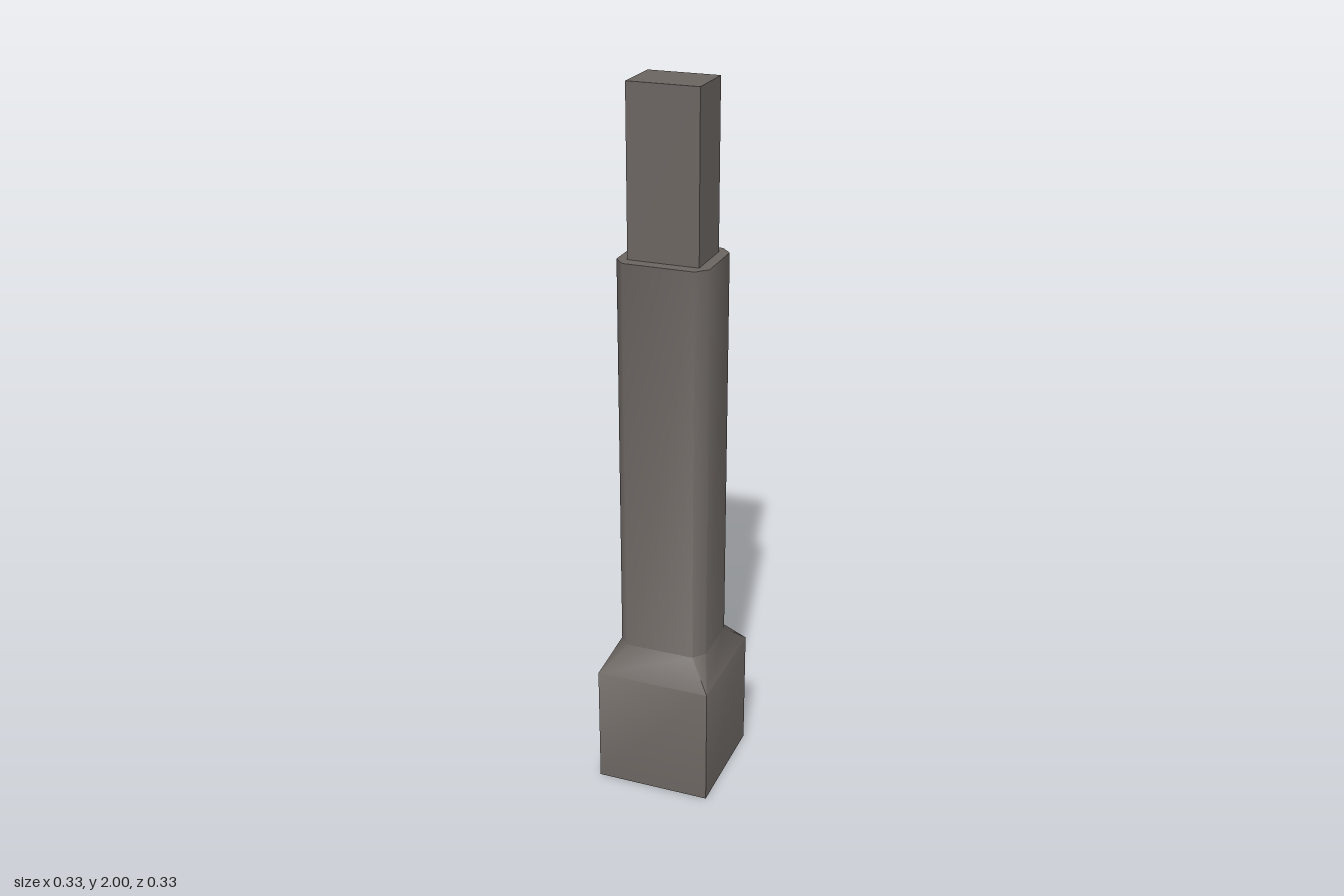
import * as THREE from 'three';
import { toCreasedNormals } from 'three/addons/utils/BufferGeometryUtils.js';

// Chamfered rectangle, counterclockwise from above; (cx, cz) are the inner ends of each chamfer
function section(y, x, z, cx = x, cz = z) {
  return [
    [x, cz], [x, -cz], [cx, -z], [-cx, -z],
    [-x, -cz], [-x, cz], [-cx, z], [cx, z],
  ].map(([px, pz]) => new THREE.Vector3(px, y, pz));
}

// Skin between sections with capped ends, smooth except at sharp corners
function loft(sections) {
  const pos = [];
  const tri = (a, b, c) => {
    if (a.equals(b) || b.equals(c) || c.equals(a)) return;
    pos.push(...a, ...b, ...c);
  };
  for (let s = 0; s < sections.length - 1; s++) {
    const lo = sections[s], hi = sections[s + 1];
    for (let i = 0; i < 8; i++) {
      const j = (i + 1) % 8;
      tri(lo[i], lo[j], hi[j]);
      tri(lo[i], hi[j], hi[i]);
    }
  }
  const bottom = sections[0], top = sections[sections.length - 1];
  for (let i = 1; i < 7; i++) {
    tri(bottom[0], bottom[i + 1], bottom[i]);
    tri(top[0], top[i], top[i + 1]);
  }
  const geo = new THREE.BufferGeometry();
  geo.setAttribute('position', new THREE.Float32BufferAttribute(pos, 3));
  return toCreasedNormals(geo, 1.0);
}

export function createModel() {
  const group = new THREE.Group();
  group.name = 'post';
  const stone = new THREE.MeshStandardMaterial({ color: 0x6b6561 });
  stone.name = 'warm grey';

  // Square foot tapering into the chamfered shaft
  const shaft = new THREE.Mesh(loft([
    section(0, 0.163, 0.167),
    section(0.345, 0.163, 0.167),
    section(0.42, 0.127, 0.108, 0.098, 0.076),
    section(1.545, 0.127, 0.108, 0.098, 0.076),
  ]), stone);
  shaft.name = 'footAndShaft';

  // Plain rectangular tenon on top
  const tenon = new THREE.Mesh(new THREE.BoxGeometry(0.196, 0.455, 0.148), stone);
  tenon.position.y = 1.7725;
  tenon.name = 'topTenon';

  group.add(shaft, tenon);
  return group;
}
